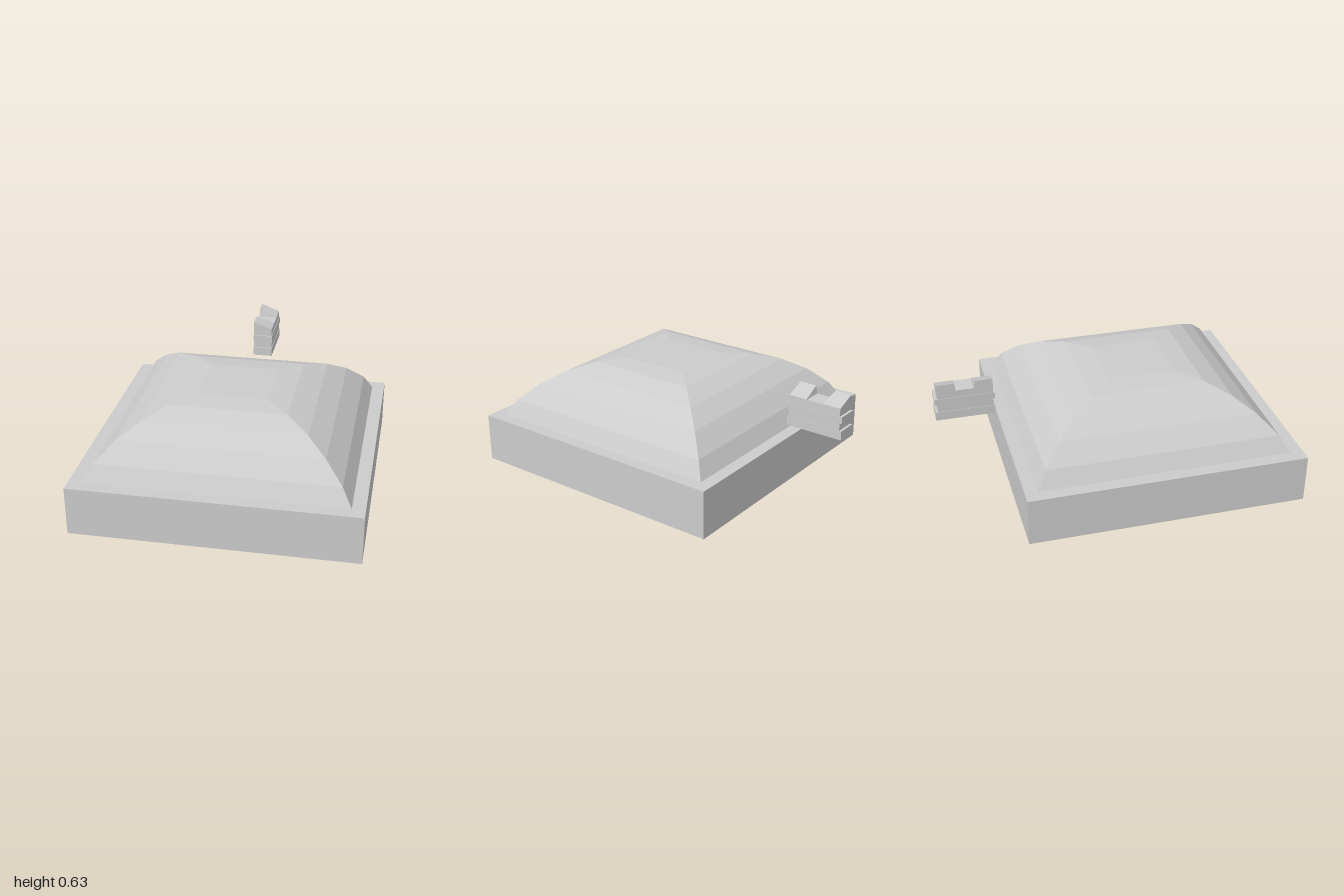
import * as THREE from 'three';

const mat = new THREE.MeshStandardMaterial({ color: 0xcccccc, flatShading: true, side: THREE.DoubleSide });
const CZ = 0.19; // centre of the main block along z

function add(group, geometry, name, x = 0, y = 0, z = 0) {
  const mesh = new THREE.Mesh(geometry, mat);
  mesh.name = name;
  mesh.position.set(x, y, z);
  group.add(mesh);
  return mesh;
}

// Square rings [half width, height] joined by flat panels
function squareLoft(profile) {
  const corners = [[-1, 1], [1, 1], [1, -1], [-1, -1]];
  const pos = [];
  const point = ([r, y], [sx, sz]) => [sx * r, y, sz * r];
  for (let i = 0; i < profile.length - 1; i++) {
    for (let k = 0; k < 4; k++) {
      const c = corners[k], n = corners[(k + 1) % 4];
      const a = point(profile[i], c), b = point(profile[i], n);
      const d = point(profile[i + 1], c), e = point(profile[i + 1], n);
      pos.push(...a, ...b, ...e, ...a, ...e, ...d);
    }
  }
  const geo = new THREE.BufferGeometry();
  geo.setAttribute('position', new THREE.Float32BufferAttribute(pos, 3));
  geo.computeVertexNormals();
  return geo;
}

// Box spanning a z range, standing on y0
function slab(group, name, halfX, y0, y1, z0, z1) {
  return add(group, new THREE.BoxGeometry(halfX * 2, y1 - y0, z1 - z0), name, 0, (y0 + y1) / 2, (z0 + z1) / 2);
}

export function createModel() {
  const model = new THREE.Group();
  model.name = 'model';

  // Base: four walls open underneath, with a flat rim around the dome
  add(model, squareLoft([[0.81, 0], [0.81, 0.286], [0.735, 0.286]]), 'base', 0, 0, CZ);

  // Four-sided faceted dome, closed at its foot and crown
  const dome = [[0, 0.286], [0.735, 0.286], [0.68, 0.38], [0.577, 0.48], [0.465, 0.551],
    [0.335, 0.597], [0.2, 0.612], [0, 0.612]];
  add(model, squareLoft(dome), 'dome', 0, 0, CZ);

  // Small ribbed block floating behind the base
  const block = new THREE.Group();
  block.name = 'ribbedBlock';
  model.add(block);
  slab(block, 'blockCore', 0.058, 0.402, 0.584, -0.985, -0.66);
  slab(block, 'lowerRib', 0.061, 0.402, 0.455, -1.0, -0.652);
  slab(block, 'upperRib', 0.061, 0.5, 0.54, -1.0, -0.652);

  // Two wedges on top, high on the right and sloping down to the left
  for (const [name, outer, innerFoot, innerTop] of [
    ['frontWedge', -0.66, -0.772, -0.762],
    ['backWedge', -0.985, -0.875, -0.885],
  ]) {
    const geo = new THREE.BoxGeometry(1, 1, 1);
    const p = geo.attributes.position;
    const outerSide = Math.sign(outer - innerFoot);
    for (let i = 0; i < p.count; i++) {
      const top = p.getY(i) > 0, right = p.getX(i) < 0;
      const isOuter = Math.sign(p.getZ(i)) === outerSide;
      p.setXYZ(i, right ? -0.058 : 0.058, top ? (right ? 0.63 : 0.587) : 0.58,
        isOuter ? outer : top && right ? innerTop : innerFoot);
    }
    geo.computeVertexNormals();
    add(block, geo, name);
  }
  return model;
}
